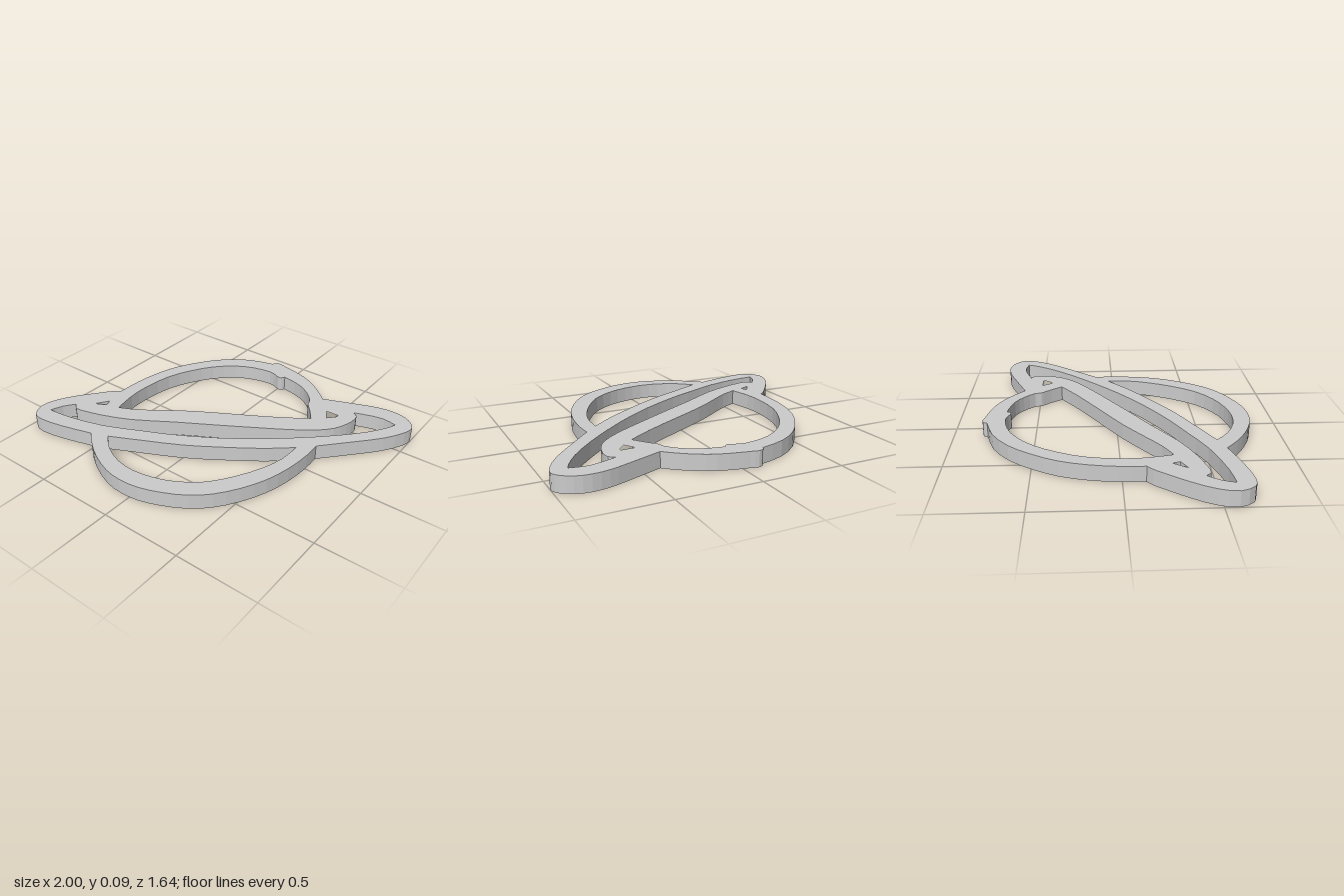
import * as THREE from 'three';

const HEIGHT = 0.095;

// Closed loop from runs of x,z pairs: each run is a smooth curve, run ends stay sharp corners
function loop(runs) {
  const out = [];
  runs.forEach((run, r) => {
    const next = runs[(r + 1) % runs.length];
    const flat = [...run, next[0], next[1]];
    const pts = [];
    for (let i = 0; i < flat.length; i += 2) pts.push(new THREE.Vector3(flat[i], -flat[i + 1], 0));
    const steps = pts.length > 2 ? (pts.length - 1) * 2 : 1;
    const curve = new THREE.CatmullRomCurve3(pts, false, 'centripetal');
    for (let i = 0; i < steps; i++) {
      const p = curve.getPoint(i / steps);
      out.push(new THREE.Vector2(p.x, p.y));
    }
  });
  return out;
}

// Outer silhouette: globe top, ring right end, globe bottom, ring left end
const outline = [
  [-0.13, -0.79, -0.12, -0.81, -0.09, -0.823, -0.04, -0.812, 0, -0.805, 0.14, -0.77, 0.24, -0.72, 0.33, -0.655],
  [0.39, -0.6, 0.62, -0.69, 0.72, -0.725, 0.82, -0.74, 0.91, -0.725, 0.97, -0.685, 0.998, -0.64, 0.985, -0.57,
    0.91, -0.44, 0.8, -0.31],
  [0.63, -0.12, 0.635, -0.01, 0.62, 0.16, 0.58, 0.32, 0.51, 0.47, 0.42, 0.6, 0.32, 0.69, 0.19, 0.76,
    0.06, 0.805, -0.07, 0.817, -0.185, 0.8, -0.32, 0.745, -0.425, 0.68],
  [-0.52, 0.6, -0.72, 0.655, -0.88, 0.68, -0.95, 0.665, -0.998, 0.58, -0.975, 0.47, -0.905, 0.35,
    -0.825, 0.245, -0.76, 0.165],
  [-0.72, 0.13, -0.715, -0.02, -0.69, -0.185, -0.64, -0.345, -0.55, -0.5, -0.44, -0.635, -0.29, -0.74],
];

// Opening in the upper half of the globe
const upperOpening = [
  [0.45, -0.355, 0.4, -0.425, 0.365, -0.465, 0.345, -0.49, 0.335, -0.53, 0.27, -0.6, 0.19, -0.65, 0.08, -0.68],
  [0.04, -0.685, 0.025, -0.662, 0, -0.66, -0.025, -0.672, -0.08, -0.685, -0.21, -0.66, -0.32, -0.605,
    -0.44, -0.495, -0.53, -0.355, -0.595, -0.2, -0.623, -0.01, -0.62, 0.14],
  [-0.59, 0.29, -0.48, 0.235, -0.345, 0.14, -0.185, 0.03, 0.03, -0.095, 0.295, -0.25],
];

// Gap inside the ring, wrapping round both ends of the inner band
const ringGap = [
  [0.9, -0.61, 0.82, -0.625, 0.75, -0.615],
  [0.63, -0.575, 0.665, -0.55, 0.672, -0.51, 0.66, -0.435, 0.62, -0.345, 0.54, -0.26, 0.415, -0.17, 0.245, -0.065,
    0.03, 0.065, -0.2, 0.2, -0.425, 0.34, -0.6, 0.415, -0.72, 0.45, -0.8, 0.462],
  [-0.835, 0.43, -0.885, 0.5],
  [-0.912, 0.575, -0.77, 0.56, -0.52, 0.495, -0.29, 0.39, -0.14, 0.32, 0.11, 0.175, 0.325, 0.02, 0.485, -0.115,
    0.67, -0.29, 0.81, -0.45, 0.885, -0.57],
];

// Opening in the lower half of the globe
const lowerOpening = [
  [-0.415, 0.56, -0.32, 0.64, -0.195, 0.695, -0.07, 0.71, 0.06, 0.69, 0.19, 0.64, 0.325, 0.54, 0.43, 0.39,
    0.5, 0.245, 0.54, 0.11],
  [0.545, -0.035, 0.405, 0.085, 0.19, 0.235, 0, 0.355, -0.24, 0.475],
];

// Small triangles where the ring crosses the globe
const rightTriangle = [[0.485, -0.485], [0.57, -0.487], [0.565, -0.465], [0.525, -0.42]];
const leftTriangle = [[-0.69, 0.27], [-0.745, 0.35], [-0.675, 0.315]];

export function createModel() {
  const group = new THREE.Group();
  group.name = 'ringedPlanet';

  const shape = new THREE.Shape(loop(outline));
  for (const hole of [upperOpening, ringGap, lowerOpening, rightTriangle, leftTriangle]) {
    shape.holes.push(new THREE.Path(loop(hole)));
  }
  const geometry = new THREE.ExtrudeGeometry(shape, { depth: HEIGHT, bevelEnabled: false });
  geometry.rotateX(-Math.PI / 2);

  const plate = new THREE.Mesh(
    geometry,
    new THREE.MeshStandardMaterial({ color: 0xcccccc, flatShading: true }),
  );
  plate.name = 'planetOutline';
  group.add(plate);
  return group;
}
